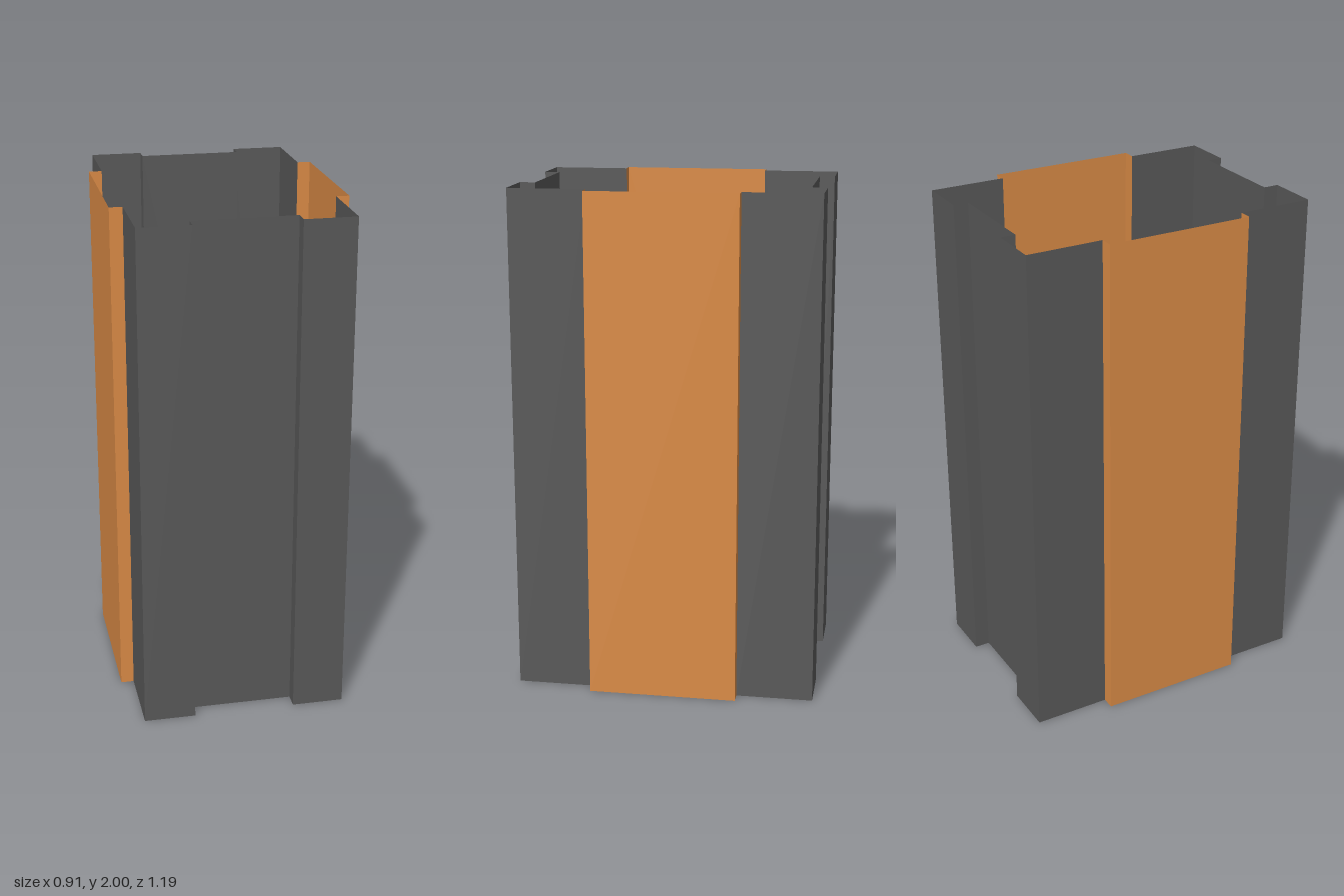
import * as THREE from 'three';

const HEIGHT = 2;
const X = 0.402, Z = 0.595;          // half size of the tube
const GAP = 0.2, DEPTH = 0.06;       // recessed panels on front and back
const BAY = 0.293, OUT = 0.453;      // raised panels on the sides

const darkGrey = new THREE.MeshStandardMaterial({ color: 0x595959, side: THREE.DoubleSide, flatShading: true });
const copper = new THREE.MeshStandardMaterial({ color: 0xda8b46, side: THREE.DoubleSide, flatShading: true });
darkGrey.name = 'darkGrey';
copper.name = 'copper';

// Upright folded sheet following a plan path of [x, z] points
function sheet(name, material, path) {
  const positions = [];
  for (let i = 0; i < path.length - 1; i++) {
    const [ax, az] = path[i], [bx, bz] = path[i + 1];
    positions.push(
      ax, 0, az, bx, 0, bz, bx, HEIGHT, bz,
      ax, 0, az, bx, HEIGHT, bz, ax, HEIGHT, az
    );
  }
  const geometry = new THREE.BufferGeometry();
  geometry.setAttribute('position', new THREE.Float32BufferAttribute(positions, 3));
  geometry.computeVertexNormals();
  const mesh = new THREE.Mesh(geometry, material);
  mesh.name = name;
  return mesh;
}

export function createModel() {
  const model = new THREE.Group();
  model.name = 'openColumn';

  // Each half has one recess, two corners and one raised panel
  for (const [name, turn] of [['frontHalf', 0], ['backHalf', Math.PI]]) {
    const half = new THREE.Group();
    half.name = name;
    half.rotation.y = turn;
    half.add(
      sheet('recessedPanel', darkGrey, [[-GAP, Z], [-GAP, Z - DEPTH], [GAP, Z - DEPTH], [GAP, Z]]),
      sheet('nearCorner', darkGrey, [[GAP, Z], [X, Z], [X, BAY]]),
      sheet('raisedPanel', copper, [[X, BAY], [OUT, BAY], [OUT, -BAY], [X, -BAY]]),
      sheet('farCorner', darkGrey, [[X, -BAY], [X, -Z], [GAP, -Z]])
    );
    model.add(half);
  }
  return model;
}
